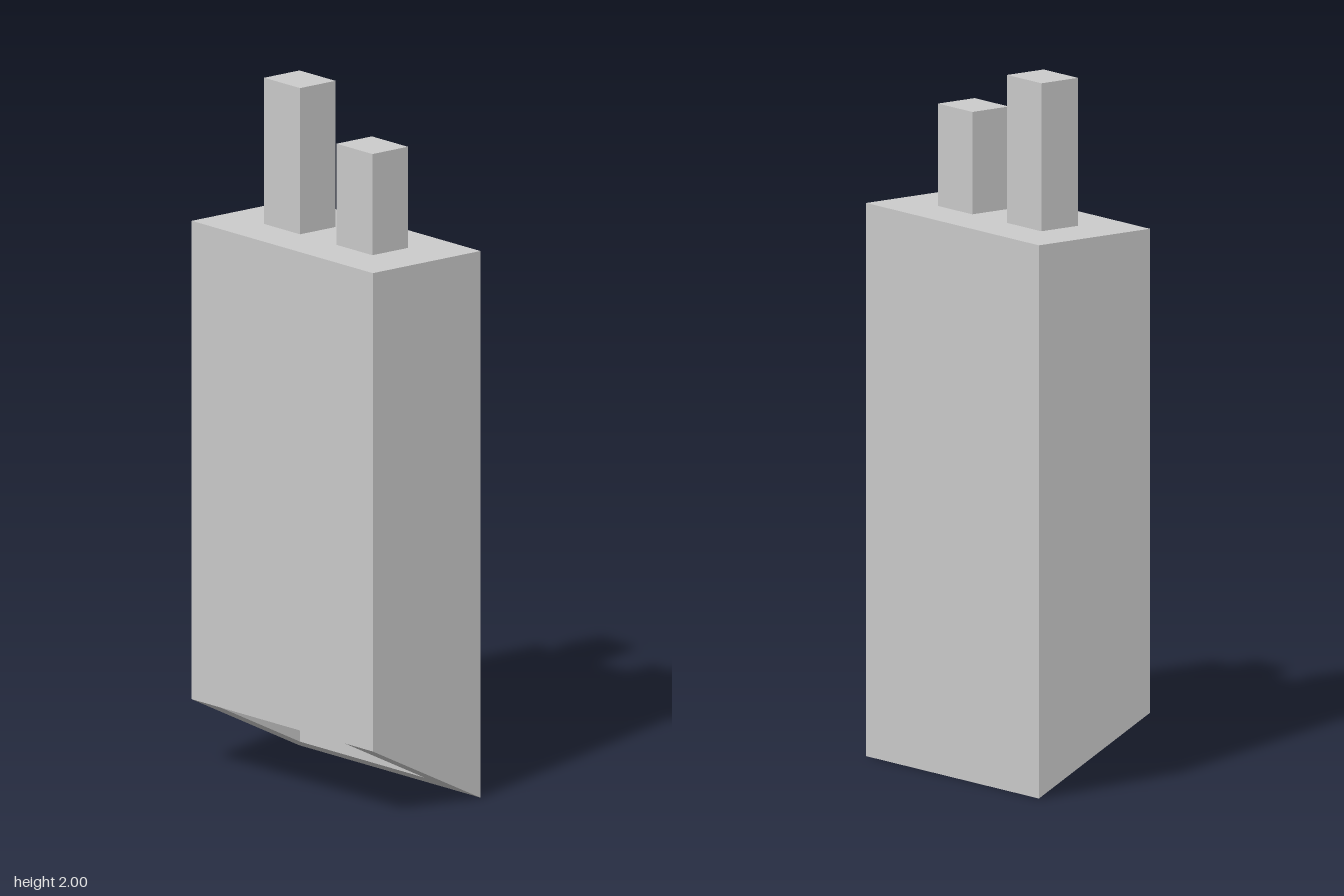
import * as THREE from 'three';

const W = 0.393, D = 0.197, TOP = 1.578;      // half width, half depth, body top
const N = 0.27, NZ = -0.097, NY = 0.05;       // notch half width, rear wall z, lower lip y

export function createModel() {
  const model = new THREE.Group();
  const material = new THREE.MeshStandardMaterial({ color: 0xcccccc, flatShading: true });

  function add(name, geometry, x = 0, y = 0, z = 0) {
    const mesh = new THREE.Mesh(geometry, material);
    mesh.name = name;
    mesh.position.set(x, y, z);
    model.add(mesh);
  }

  // Fan of triangles over a convex polygon, counter-clockwise from outside
  function shell(polygons) {
    const pos = [];
    for (const p of polygons)
      for (let i = 1; i < p.length - 1; i++) pos.push(...p[0], ...p[i], ...p[i + 1]);
    const g = new THREE.BufferGeometry();
    g.setAttribute('position', new THREE.Float32BufferAttribute(pos, 3));
    g.computeVertexNormals();
    return g;
  }

  // Panel spanning x0..x1 between two [y, z] profile points
  const strip = (x0, x1, [ya, za], [yb, zb]) =>
    [[x0, ya, za], [x1, ya, za], [x1, yb, zb], [x0, yb, zb]];
  // Upright side panel at x; facing +x or -x
  const side = (x, profile, facing) => {
    const p = profile.map(([y, z]) => [x, y, z]);
    return facing > 0 ? p : p.reverse();
  };

  const backLow = [0, -D], backTop = [TOP, -D], frontTop = [TOP, D], frontLow = [2 * D * 0.5, D];
  const lip = [NY, NZ], notchTop = [D, NZ];

  // Body walls and top
  const outline = [backLow, backTop, frontTop, frontLow];
  add('body', shell([
    strip(-W, W, frontLow, frontTop),
    strip(-W, W, frontTop, backTop),
    strip(-W, W, backTop, backLow),
    side(W, outline, 1),
    side(-W, outline, -1),
  ]));

  // Slanted underside: two side strips and a rear lip
  add('slantedBase', shell([
    strip(-W, -N, backLow, frontLow),
    strip(N, W, backLow, frontLow),
    strip(-N, N, backLow, lip),
  ]));

  // Notch cut into the underside
  const cheek = [lip, notchTop, frontLow];
  add('baseNotch', shell([
    strip(-N, N, lip, notchTop),
    strip(-N, N, notchTop, frontLow),
    side(-N, cheek, 1),
    side(N, cheek, -1),
  ]));

  // Two posts of different height on top
  for (const [name, x, top] of [['tallPost', -0.157, 2], ['shortPost', 0.157, 1.87]]) {
    const h = top - TOP;
    add(name, new THREE.BoxGeometry(0.156, h, 0.13), x, TOP + h / 2, 0);
  }
  return model;
}
